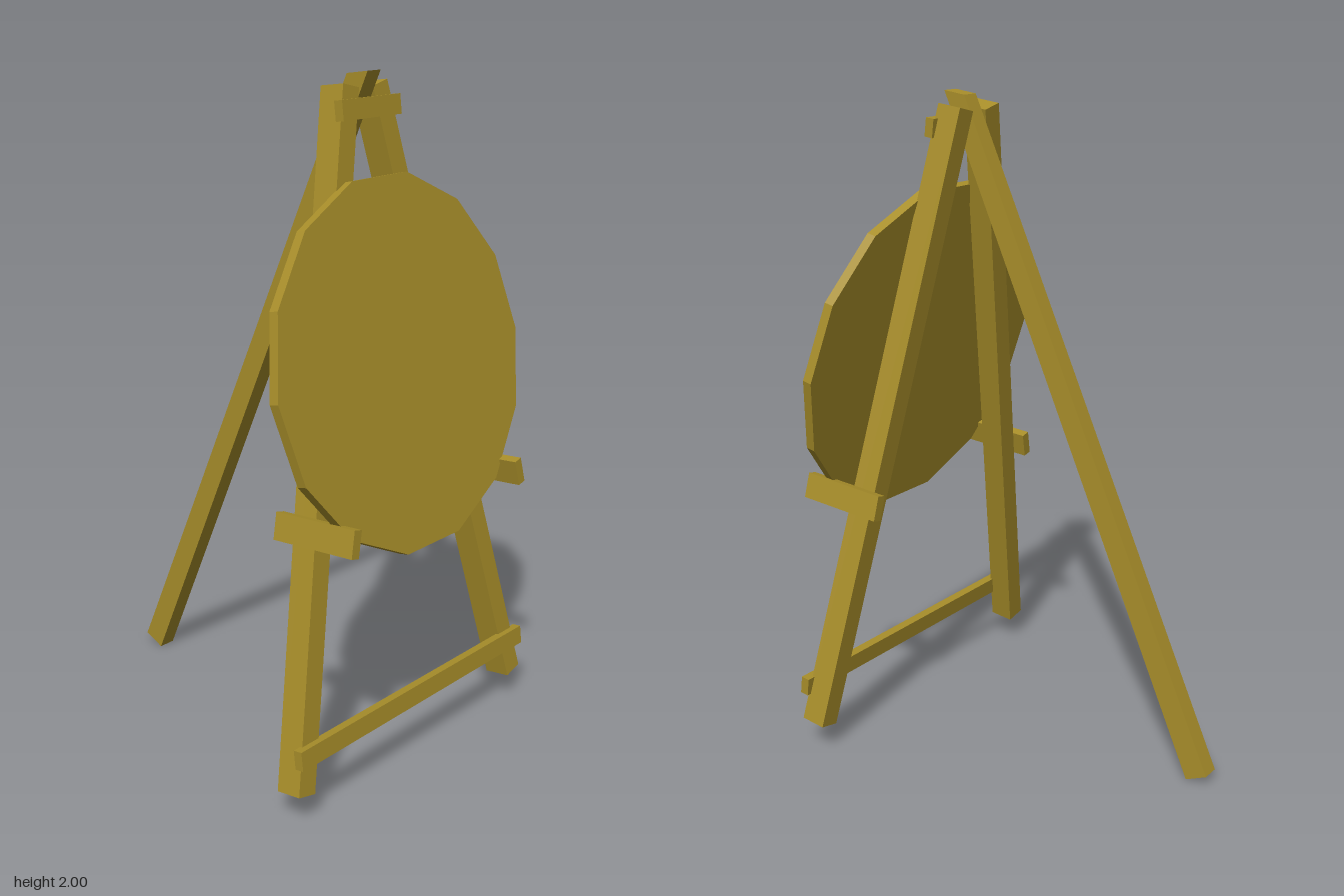
import * as THREE from 'three';

export function createModel() {
  const group = new THREE.Group();
  const wood = new THREE.MeshStandardMaterial({ color: 0xa88e2a, flatShading: true });
  const lean = 0.129; // backward tilt of the front frame

  const add = (name, geometry, parent = group) => {
    const mesh = new THREE.Mesh(geometry, wood);
    mesh.name = name;
    parent.add(mesh);
    return mesh;
  };

  // Square-ended beam from a to b, its width kept close to the x axis
  const beam = (name, a, b, width, depth) => {
    const y = b.clone().sub(a);
    const length = y.length();
    y.normalize();
    const x = new THREE.Vector3(1, 0, 0).addScaledVector(y, -y.x).normalize();
    const z = x.clone().cross(y);
    const mesh = add(name, new THREE.BoxGeometry(width, length, depth));
    mesh.quaternion.setFromRotationMatrix(new THREE.Matrix4().makeBasis(x, y, z));
    mesh.position.copy(a).add(b).multiplyScalar(0.5);
    return mesh;
  };

  // Splayed front legs, each with a supporting peg on its outer side
  for (const [side, s] of [['left', 1], ['right', -1]]) {
    const leg = beam(side + 'FrontLeg',
      new THREE.Vector3(s * 0.5, 0.085, 0.507),
      new THREE.Vector3(s * 0.062, 1.957, 0.265), 0.066, 0.08);
    leg.updateMatrix();
    const peg = add(side + 'Peg', new THREE.BoxGeometry(0.03, 0.078, 0.28));
    peg.position.set(s * 0.382, 0.806, 0.472);
    peg.rotation.set(-0.075, 0, s * 0.23);
  }

  // Back leg: side profile with an oblique top cut, extruded across x
  const profile = new THREE.Shape([
    [0.545, 0], [0.613, 0.03], [-0.26, 1.99], [-0.333, 2],
  ].map(([x, y]) => new THREE.Vector2(x, y)));
  const backLeg = add('backLeg', new THREE.ExtrudeGeometry(profile,
    { depth: 0.056, bevelEnabled: false }).translate(0, 0, -0.028));
  backLeg.rotation.y = Math.PI / 2;

  // Cross bars fixed to the front of the legs
  for (const [name, width, y, z] of [
    ['topCrossbar', 0.25, 1.9, 0.316],
    ['bottomCrossbar', 1.054, 0.207, 0.538],
  ]) {
    const bar = add(name, new THREE.BoxGeometry(width, 0.056, 0.028));
    bar.position.set(0, y, z);
    bar.rotation.x = -lean;
  }

  // Fourteen-sided round board resting on the pegs
  const board = add('board',
    new THREE.CylinderGeometry(0.535, 0.535, 0.03, 14, 1, false, Math.PI / 2));
  board.position.set(0, 1.204, 0.457);
  board.rotation.x = Math.PI / 2 - 0.215;

  return group;
}
